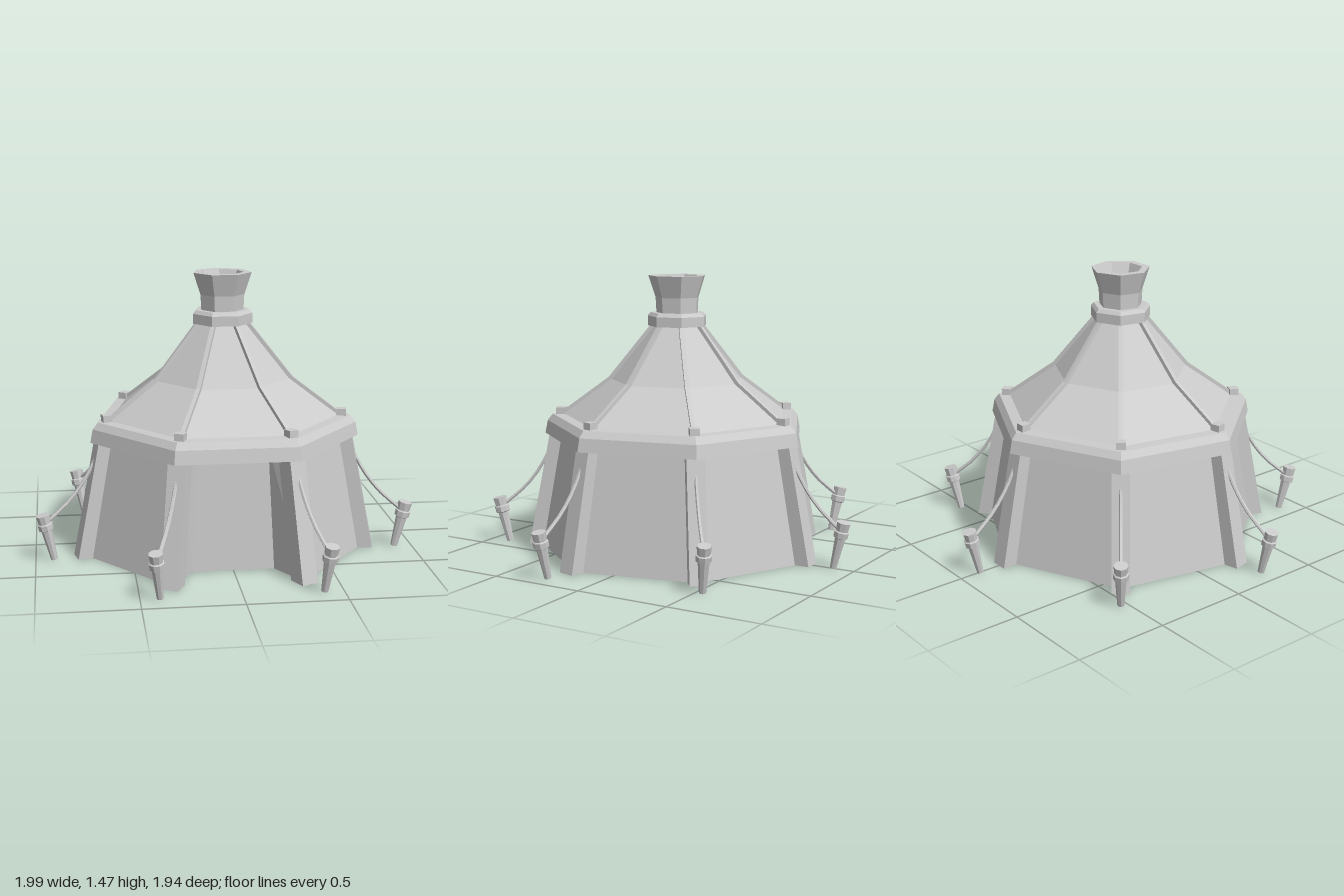
import * as THREE from 'three';

const SIDES = 7;
const STEP = (Math.PI * 2) / SIDES;

export function createModel() {
  const model = new THREE.Group();
  model.name = 'tent';
  const mat = new THREE.MeshStandardMaterial({ color: 0xcccccc, flatShading: true, side: THREE.DoubleSide });

  const add = (parent, name, geometry) => {
    const mesh = new THREE.Mesh(geometry, mat);
    mesh.name = name;
    parent.add(mesh);
    return mesh;
  };
  // Turned form from [radius, height] pairs; the corner of a heptagon points to the back
  const turned = (profile, segments = SIDES, start = Math.PI, length = Math.PI * 2) =>
    new THREE.LatheGeometry(profile.map(([r, y]) => new THREE.Vector2(r, y)), segments, start, length);

  // Square bar between two [radius, height] points in the local yz plane
  const bar = (parent, name, [r0, y0], [r1, y1], width, depth) => {
    const mesh = add(parent, name, new THREE.BoxGeometry(width, depth, Math.hypot(r1 - r0, y1 - y0)));
    mesh.position.set(0, (y0 + y1) / 2, (r0 + r1) / 2);
    mesh.rotation.x = -Math.atan2(y1 - y0, r1 - r0);
  };

  // Six sloping cloth walls, leaving the front side free
  add(model, 'walls', turned([[0.755, 0], [0.64, 0.64]], SIDES - 1, STEP / 2, STEP * (SIDES - 1)));

  // Recessed entrance: two side flaps and a back cloth
  const bottom = [[-0.327, 0.68], [-0.21, 0.48], [0.21, 0.48], [0.327, 0.68]];
  const top = [[-0.278, 0.577], [-0.18, 0.45], [0.18, 0.45], [0.278, 0.577]];
  const positions = [];
  const indices = [];
  bottom.forEach(([x, z], i) => {
    positions.push(x, 0, z, top[i][0], 0.64, top[i][1]);
    if (i < 3) {
      const a = i * 2;
      indices.push(a, a + 2, a + 1, a + 1, a + 2, a + 3);
    }
  });
  const entrance = new THREE.BufferGeometry();
  entrance.setAttribute('position', new THREE.Float32BufferAttribute(positions, 3));
  entrance.setIndex(indices);
  entrance.computeVertexNormals();
  add(model, 'entrance', entrance);

  // Eave band with a bevelled top edge
  add(model, 'eave', turned([
    [0.6, 0.61], [0.722, 0.61], [0.708, 0.68], [0.68, 0.715], [0.6, 0.72],
  ]));

  // Roof in two slopes
  add(model, 'roof', turned([[0.625, 0.715], [0.36, 0.91], [0.12, 1.21]]));

  // Collar at the peak
  add(model, 'collar', turned([
    [0.1, 1.2], [0.16, 1.2], [0.16, 1.252], [0.145, 1.27], [0.06, 1.27],
  ]));

  // Flared smoke vent with a hollow top
  add(model, 'vent', turned([
    [0.113, 1.26], [0.118, 1.35], [0.156, 1.465], [0.115, 1.465], [0.068, 1.35], [0, 1.35],
  ]));

  // Corner post: a box that leans inward towards the top
  const post = new THREE.BoxGeometry(0.092, 0.64, 0.1);
  post.translate(0, 0.32, 0);
  const p = post.attributes.position;
  for (let i = 0; i < p.count; i++) {
    p.setZ(i, p.getZ(i) + 0.76 - 0.125 * (p.getY(i) / 0.64));
  }
  post.computeVertexNormals();

  // Tapered peg with a ring below its head
  const peg = turned([
    [0, 0], [0.018, 0], [0.029, 0.165], [0.039, 0.17], [0.04, 0.2],
    [0.033, 0.205], [0.037, 0.25], [0, 0.25],
  ], 8, 0);

  // Sagging guy rope
  const ropePath = new THREE.CatmullRomCurve3([
    [0.66, 0.63], [0.7, 0.52], [0.76, 0.41], [0.84, 0.31], [0.95, 0.215],
  ].map(([r, y]) => new THREE.Vector3(0, y, r)));
  const rope = new THREE.TubeGeometry(ropePath, 8, 0.01, 6, false);

  // Fittings repeated at every corner
  for (let i = 0; i < SIDES; i++) {
    const corner = new THREE.Group();
    corner.name = 'corner' + (i + 1);
    corner.rotation.y = Math.PI + i * STEP;
    model.add(corner);

    add(corner, 'post', post);
    add(corner, 'rope', rope);

    const stake = add(corner, 'peg', peg);
    stake.position.set(0, 0.004, 0.927);
    stake.rotation.x = 0.225;

    bar(corner, 'lowerRib', [0.62, 0.722], [0.36, 0.914], 0.022, 0.024);
    bar(corner, 'upperRib', [0.365, 0.91], [0.122, 1.213], 0.022, 0.024);

    const knob = add(corner, 'knob', new THREE.BoxGeometry(0.05, 0.045, 0.05));
    knob.position.set(0, 0.73, 0.632);
  }

  // Centre the footprint
  for (const part of model.children) part.position.z = 0.043;
  return model;
}
